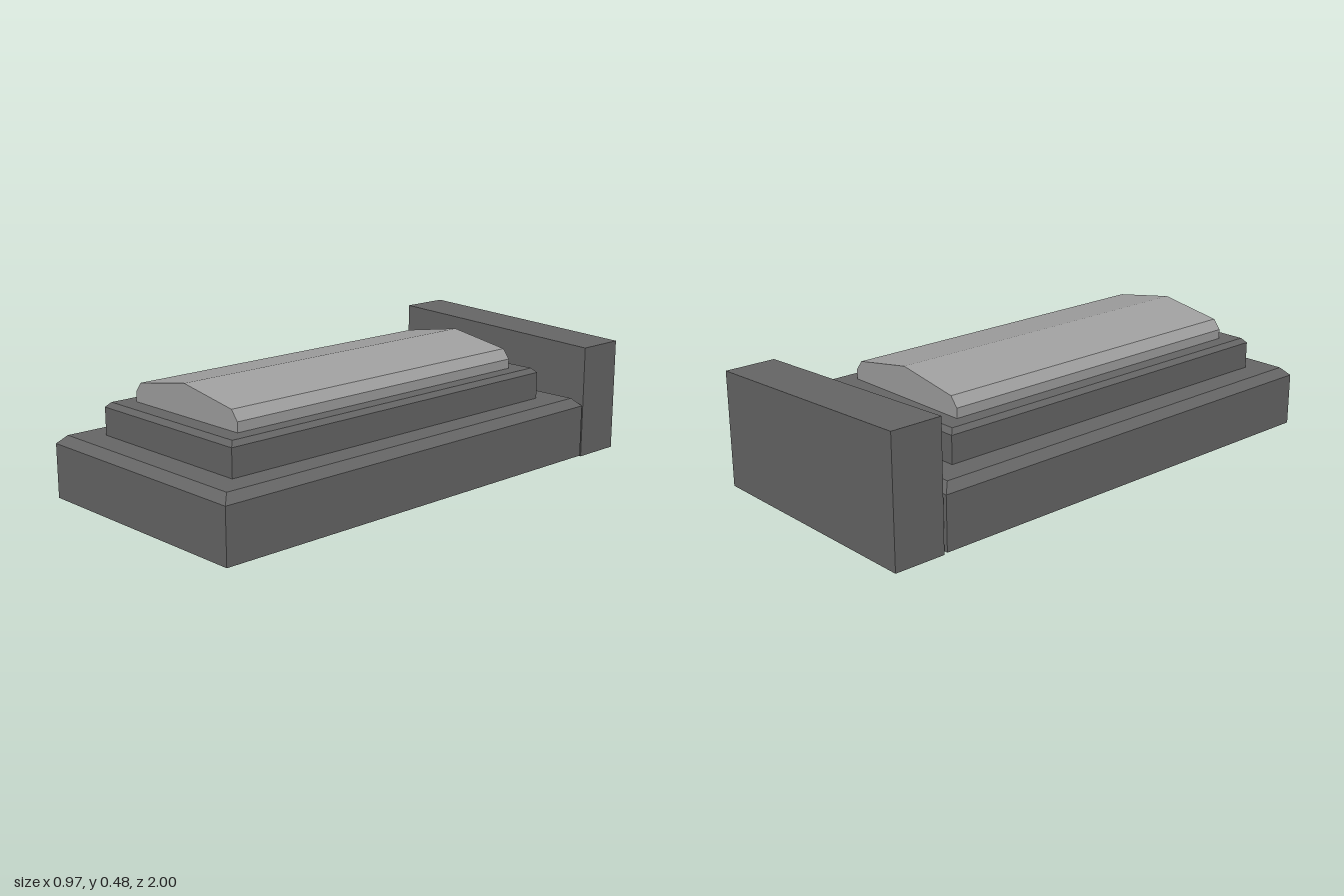
import * as THREE from 'three';

const darkStone = new THREE.MeshStandardMaterial({ color: 0x666666, flatShading: true });
const paleStone = new THREE.MeshStandardMaterial({ color: 0xa0a0a0, flatShading: true });

// Block with a chamfered top edge: the top ring of vertices is pulled inward
function chamferedTier(name, { width, front, back, bottom, shoulder, top, inset }) {
  const depth = front - back;
  const box = new THREE.BoxGeometry(width, 2, depth, 1, 2, 1);
  const pos = box.attributes.position;
  for (let i = 0; i < pos.count; i++) {
    const level = Math.round(pos.getY(i));
    pos.setY(i, [bottom, shoulder, top][level + 1]);
    if (level === 1) {
      pos.setX(i, pos.getX(i) - Math.sign(pos.getX(i)) * inset);
      pos.setZ(i, pos.getZ(i) - Math.sign(pos.getZ(i)) * inset);
    }
  }
  const geometry = box.toNonIndexed();
  geometry.computeVertexNormals();
  geometry.translate(0, 0, (front + back) / 2);
  const mesh = new THREE.Mesh(geometry, darkStone);
  mesh.name = name;
  return mesh;
}

// Front outline extruded from the back z to the front z
function prism(name, outline, front, back, material) {
  const shape = new THREE.Shape(outline.map(([x, y]) => new THREE.Vector2(x, y)));
  const geometry = new THREE.ExtrudeGeometry(shape, { depth: front - back, bevelEnabled: false });
  geometry.translate(0, 0, back);
  const mesh = new THREE.Mesh(geometry, material);
  mesh.name = name;
  return mesh;
}

export function createModel() {
  const group = new THREE.Group();
  group.name = 'graveSlab';

  // Stepped plinth
  group.add(chamferedTier('basePlinth', {
    width: 0.966, front: 1, back: -0.79, bottom: 0.006, shoulder: 0.21, top: 0.241, inset: 0.031,
  }));
  group.add(chamferedTier('middleTier', {
    width: 0.714, front: 0.87, back: -0.66, bottom: 0.241, shoulder: 0.345, top: 0.363, inset: 0.017,
  }));

  // Ridged lid
  group.add(prism('ridgedLid', [
    [-0.283, 0.363], [0.283, 0.363], [0.283, 0.4], [0.254, 0.437],
    [0, 0.48], [-0.254, 0.437], [-0.283, 0.4],
  ], 0.785, -0.575, paleStone));

  // Headstone with a slanting top
  group.add(prism('headstone', [
    [-0.48, 0], [0.48, 0], [0.48, 0.441], [-0.48, 0.482],
  ], -0.8, -1, darkStone));

  return group;
}
